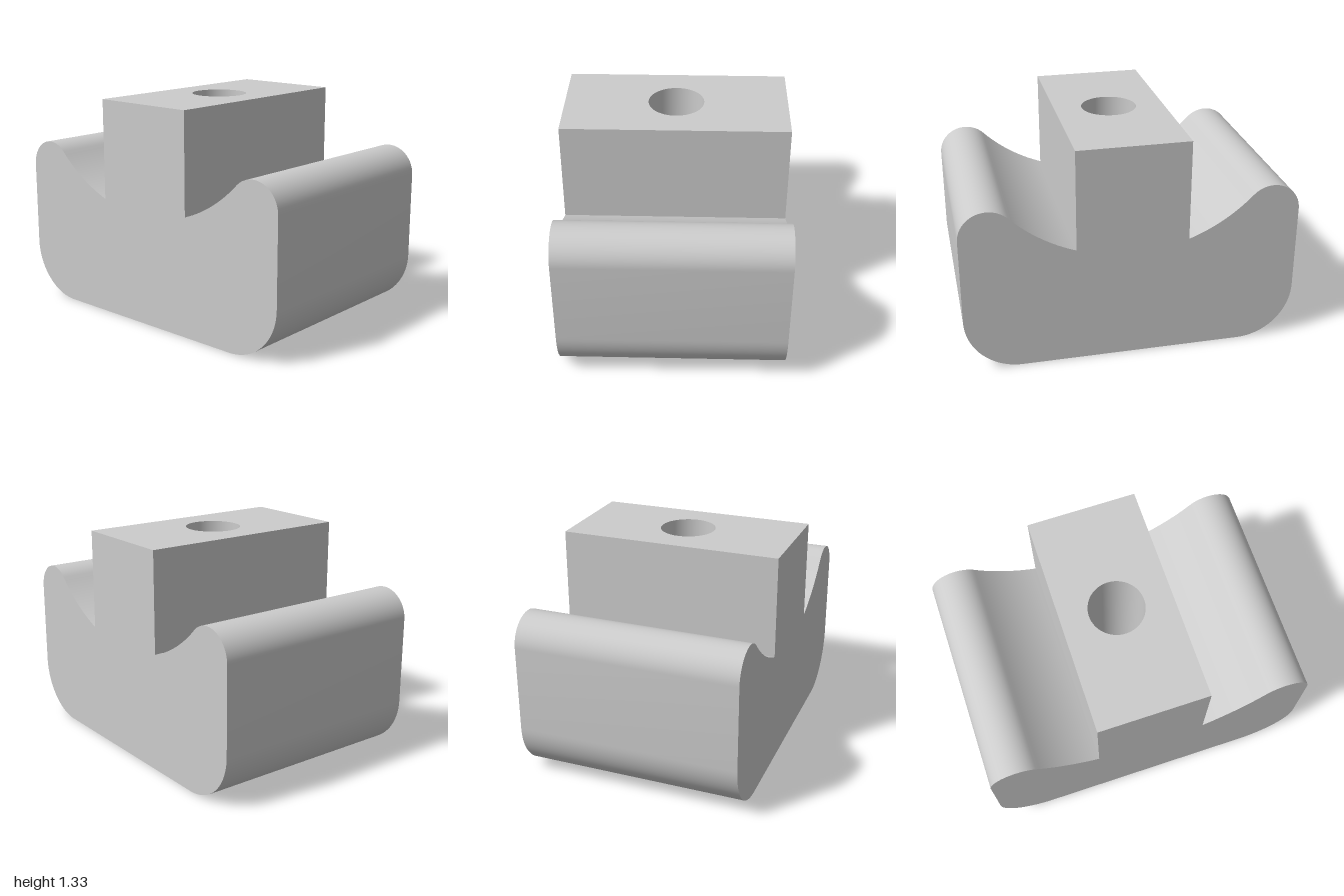
import * as THREE from 'three';
import { toCreasedNormals } from 'three/addons/utils/BufferGeometryUtils.js';

const HALF_DEPTH = 2 / 3;
const HEIGHT = 4 / 3;
const BORE_RADIUS = 1 / 6;
const TONGUE = 1 / 3; // half width of the central tongue
const CORNER = 1 / 3; // bottom corner radius
const LOBE = 1 / 6; // shoulder radius
const GROOVE_Y = 5 / 3; // centre height of the concave groove arc, radius 1

function arc(cx, cy, r, from, to, n) {
  return Array.from({ length: n + 1 }, (_, i) => {
    const a = from + ((to - from) * i) / n;
    return new THREE.Vector2(cx + r * Math.cos(a), cy + r * Math.sin(a));
  });
}

// Right half of the cross-section, from the bottom flat up to the tongue top
function halfProfile() {
  const lobeX = 1 - LOBE;
  const lobeY = GROOVE_Y - Math.sqrt((1 + LOBE) ** 2 - lobeX ** 2);
  const tangent = Math.atan2(lobeY - GROOVE_Y, lobeX); // where lobe meets groove
  return [
    ...arc(1 - CORNER, CORNER, CORNER, -Math.PI / 2, 0, 20),
    ...arc(lobeX, lobeY, LOBE, 0, tangent + Math.PI, 24),
    ...arc(0, GROOVE_Y, 1, tangent, -Math.acos(TONGUE), 16).slice(1),
    new THREE.Vector2(TONGUE, HEIGHT),
  ];
}

// Walls swept along z from an open outline
function sweepWalls(points) {
  const pos = [];
  for (let i = 0; i < points.length - 1; i++) {
    const a = points[i], b = points[i + 1], d = HALF_DEPTH;
    pos.push(a.x, a.y, d, a.x, a.y, -d, b.x, b.y, -d);
    pos.push(a.x, a.y, d, b.x, b.y, -d, b.x, b.y, d);
  }
  const geometry = new THREE.BufferGeometry();
  geometry.setAttribute('position', new THREE.Float32BufferAttribute(pos, 3));
  return toCreasedNormals(geometry, 0.5);
}

// Flat rectangle with the bore opening
function drilledFace(halfWidth) {
  const d = HALF_DEPTH;
  const shape = new THREE.Shape([
    new THREE.Vector2(-halfWidth, -d), new THREE.Vector2(halfWidth, -d),
    new THREE.Vector2(halfWidth, d), new THREE.Vector2(-halfWidth, d),
  ]);
  shape.holes.push(new THREE.Path().absarc(0, 0, BORE_RADIUS, 0, Math.PI * 2, true));
  return new THREE.ShapeGeometry(shape, 32);
}

export function createModel() {
  const group = new THREE.Group();
  group.name = 'slotNut';
  const material = new THREE.MeshStandardMaterial({ color: 0xcccccc });
  const add = (name, geometry) => {
    const mesh = new THREE.Mesh(geometry, material);
    mesh.name = name;
    group.add(mesh);
  };

  const right = halfProfile();
  const left = right.map((p) => new THREE.Vector2(-p.x, p.y)).reverse();

  // Curved and straight flanks
  add('leftFlank', sweepWalls(right));
  add('rightFlank', sweepWalls(left));

  // End faces
  const section = new THREE.Shape([...right, ...left]);
  add('frontFace', new THREE.ShapeGeometry(section).translate(0, 0, HALF_DEPTH));
  add('backFace', new THREE.ShapeGeometry(section).rotateY(Math.PI).translate(0, 0, -HALF_DEPTH));

  // Drilled top and bottom
  add('tongueTop', drilledFace(TONGUE).rotateX(-Math.PI / 2).translate(0, HEIGHT, 0));
  add('bottomFace', drilledFace(1 - CORNER).rotateX(Math.PI / 2));

  // Bore wall, turned inside out to face the axis
  const bore = new THREE.CylinderGeometry(BORE_RADIUS, BORE_RADIUS, HEIGHT, 64, 1, true);
  bore.scale(-1, 1, 1).translate(0, HEIGHT / 2, 0);
  add('bore', toCreasedNormals(bore, 0.5));

  return group;
}
